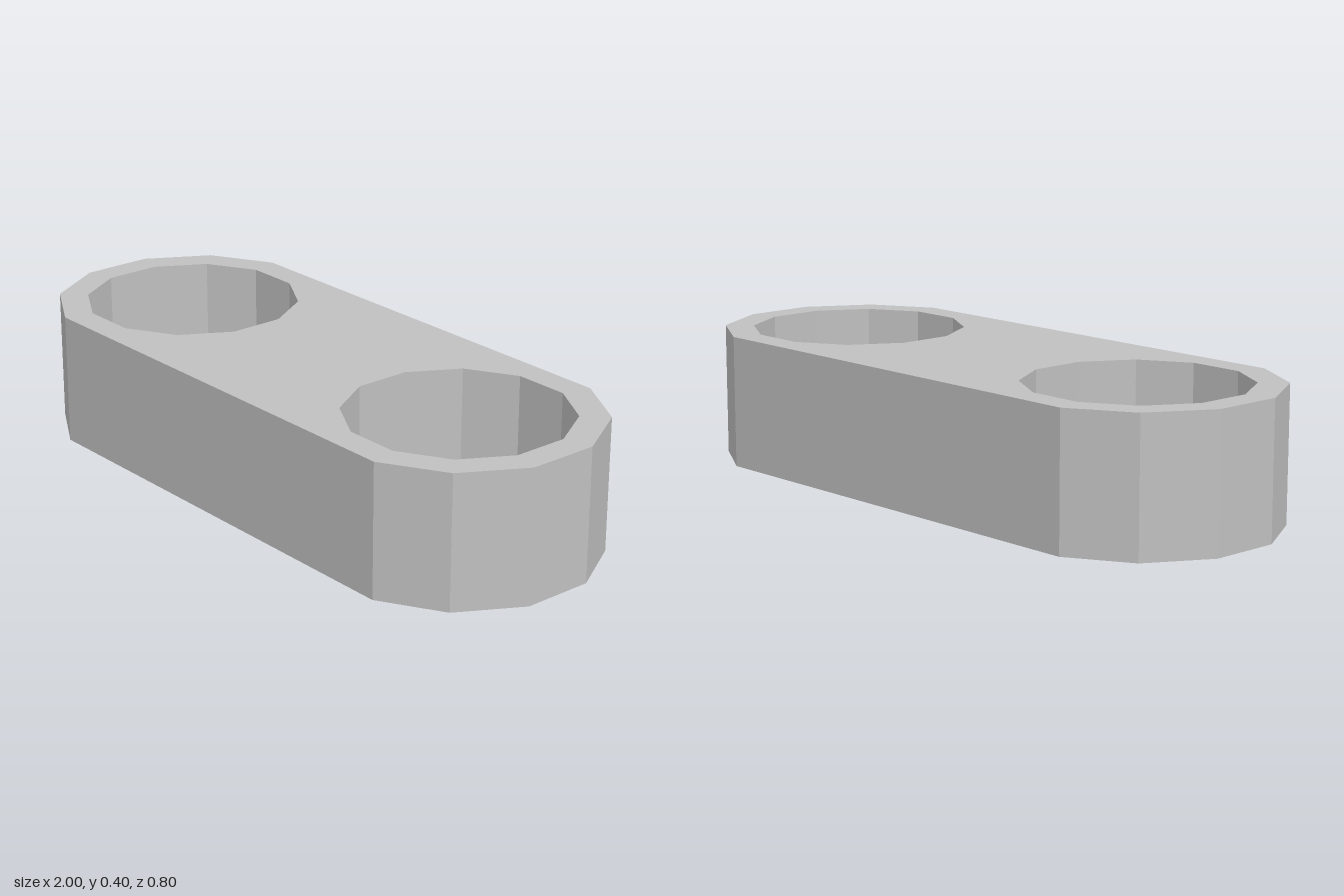
import * as THREE from 'three';

const CENTRE = 0.6;   // distance of each hole from the middle
const HEIGHT = 0.4;
const APOTHEM = 0.4;  // half width of the link
const HOLE = 0.315;   // apothem of the holes

// Points of a twelve-sided ring, flat sides facing the axes
function arc(cx, apothem, first, count) {
  const r = apothem / Math.cos(Math.PI / 12);
  return Array.from({ length: count }, (_, i) => {
    const a = (first + i * 30) * Math.PI / 180;
    return new THREE.Vector2(cx + r * Math.cos(a), r * Math.sin(a));
  });
}

export function createModel() {
  const model = new THREE.Group();
  const grey = new THREE.MeshStandardMaterial({ color: 0xc0c0c0, flatShading: true });
  grey.name = 'light grey';

  // Outline: half a dodecagon at each end
  const outline = new THREE.Shape([
    ...arc(CENTRE, APOTHEM, -75, 6),
    ...arc(-CENTRE, APOTHEM, 105, 6),
  ]);

  // One through hole at each end
  for (const side of [-1, 1]) {
    outline.holes.push(new THREE.Path(arc(side * CENTRE, HOLE, 15, 12).reverse()));
  }

  const geometry = new THREE.ExtrudeGeometry(outline, { depth: HEIGHT, bevelEnabled: false });
  geometry.rotateX(-Math.PI / 2);

  const link = new THREE.Mesh(geometry, grey);
  link.name = 'linkBeam';
  model.add(link);
  return model;
}
